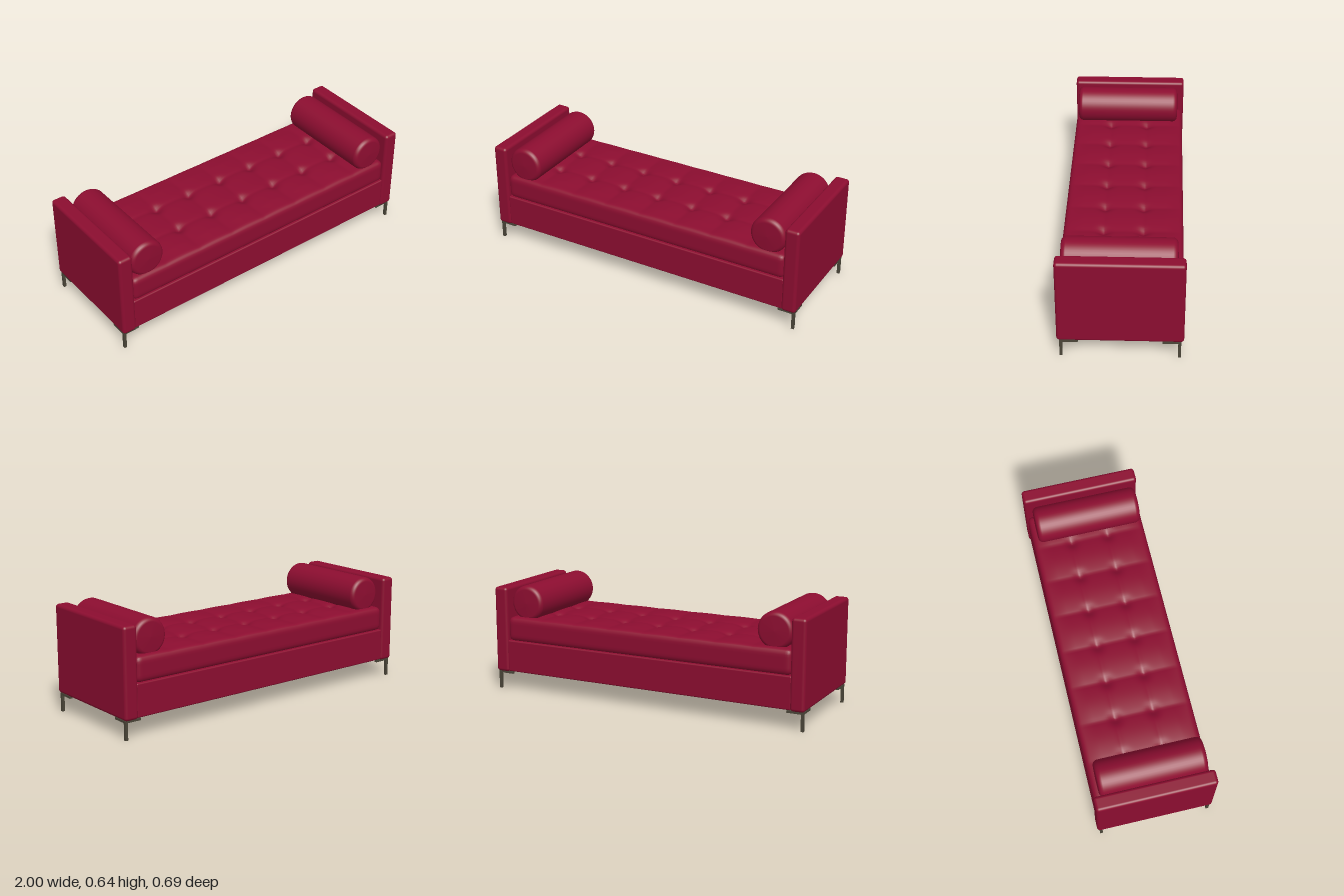
import * as THREE from 'three';
import { mergeVertices } from 'three/addons/utils/BufferGeometryUtils.js';
import { RoundedBoxGeometry } from 'three/addons/geometries/RoundedBoxGeometry.js';

const fabric = new THREE.MeshStandardMaterial({ color: 0x8c0d30 });
fabric.name = 'crimson fabric';
const metal = new THREE.MeshStandardMaterial({ color: 0x4a4538 });
metal.name = 'dark bronze';

function add(parent, name, geometry, material, x = 0, y = 0, z = 0) {
  const mesh = new THREE.Mesh(geometry, material);
  mesh.name = name;
  mesh.position.set(x, y, z);
  parent.add(mesh);
  return mesh;
}

// Rounded mattress whose top is pulled down at a 7 x 2 grid of tufts
function mattressGeometry() {
  const w = 1.83, h = 0.145, d = 0.674, r = 0.03;
  const stepX = 0.2275, stepZ = 0.222;
  let g = new THREE.BoxGeometry(w, h, d, 144, 10, 60);
  const pos = g.attributes.position;
  const p = new THREE.Vector3(), core = new THREE.Vector3();
  const lim = new THREE.Vector3(w / 2 - r, h / 2 - r, d / 2 - r);
  for (let i = 0; i < pos.count; i++) {
    p.fromBufferAttribute(pos, i);
    const onTop = p.y > h / 2 - 1e-5;
    core.copy(p).clamp(lim.clone().negate(), lim);
    p.sub(core).setLength(r).add(core);
    if (onTop) {
      // Distance to the nearest tuft and to the nearest seam lines
      const col = THREE.MathUtils.clamp(Math.round(p.x / stepX), -3, 3);
      const dx = p.x - col * stepX;
      const dz = Math.abs(p.z) - stepZ / 2;
      const edge = Math.min(1, Math.min(w / 2 - Math.abs(p.x), d / 2 - Math.abs(p.z)) / 0.1);
      const puff = 0.009 * Math.abs(Math.cos(Math.PI * (p.x / stepX - 0.5)));
      const tuft = 0.018 * Math.exp(-(dx * dx + dz * dz) / 0.0011);
      const seam = 0.006 * Math.exp(-Math.abs(dz) / 0.02) + 0.002 * Math.exp(-Math.abs(dx) / 0.015);
      p.y += edge * (puff - tuft - seam);
    }
    pos.setXYZ(i, p.x, p.y, p.z);
  }
  g.deleteAttribute('uv');
  g.deleteAttribute('normal');
  g = mergeVertices(g, 1e-5);
  g.computeVertexNormals();
  return g;
}

// Bolster profile: straight roll with softly rounded rims and nearly flat ends
function bolsterGeometry() {
  const profile = new THREE.Path();
  profile.moveTo(0, -0.315);
  profile.lineTo(0.083, -0.311);
  profile.quadraticCurveTo(0.102, -0.308, 0.107, -0.285);
  profile.lineTo(0.107, 0.285);
  profile.quadraticCurveTo(0.102, 0.308, 0.083, 0.311);
  profile.lineTo(0, 0.315);
  const g = new THREE.LatheGeometry(profile.getPoints(6), 48);
  g.rotateX(Math.PI / 2);
  return g;
}

export function createModel() {
  const model = new THREE.Group();
  model.name = 'daybed';

  add(model, 'baseFrame', new RoundedBoxGeometry(1.84, 0.192, 0.674, 3, 0.008), fabric, 0, 0.21, 0);
  add(model, 'mattress', mattressGeometry(), fabric, 0, 0.377, 0);

  const arm = new RoundedBoxGeometry(0.086, 0.52, 0.69, 5, 0.018);
  const bolster = bolsterGeometry();
  const post = new THREE.BoxGeometry(0.016, 0.11, 0.016);
  const barX = new THREE.BoxGeometry(0.1, 0.013, 0.016);
  const barZ = new THREE.BoxGeometry(0.016, 0.013, 0.1);

  for (const sx of [1, -1]) {
    const side = sx > 0 ? 'left' : 'right';
    add(model, side + 'Arm', arm, fabric, sx * 0.957, 0.37, 0);
    add(model, side + 'Bolster', bolster, fabric, sx * 0.801, 0.537, 0.008);

    // Corner legs: slim post with an L-shaped bracket under the frame
    for (const sz of [1, -1]) {
      const leg = new THREE.Group();
      leg.name = side + (sz > 0 ? 'Front' : 'Back') + 'Leg';
      leg.position.set(sx * 0.985, 0, sz * 0.322);
      add(leg, 'post', post, metal, 0, 0.055, 0);
      add(leg, 'bracketAcross', barX, metal, -sx * 0.043, 0.104, 0);
      add(leg, 'bracketAlong', barZ, metal, 0, 0.104, -sz * 0.043);
      model.add(leg);
    }
  }
  return model;
}
